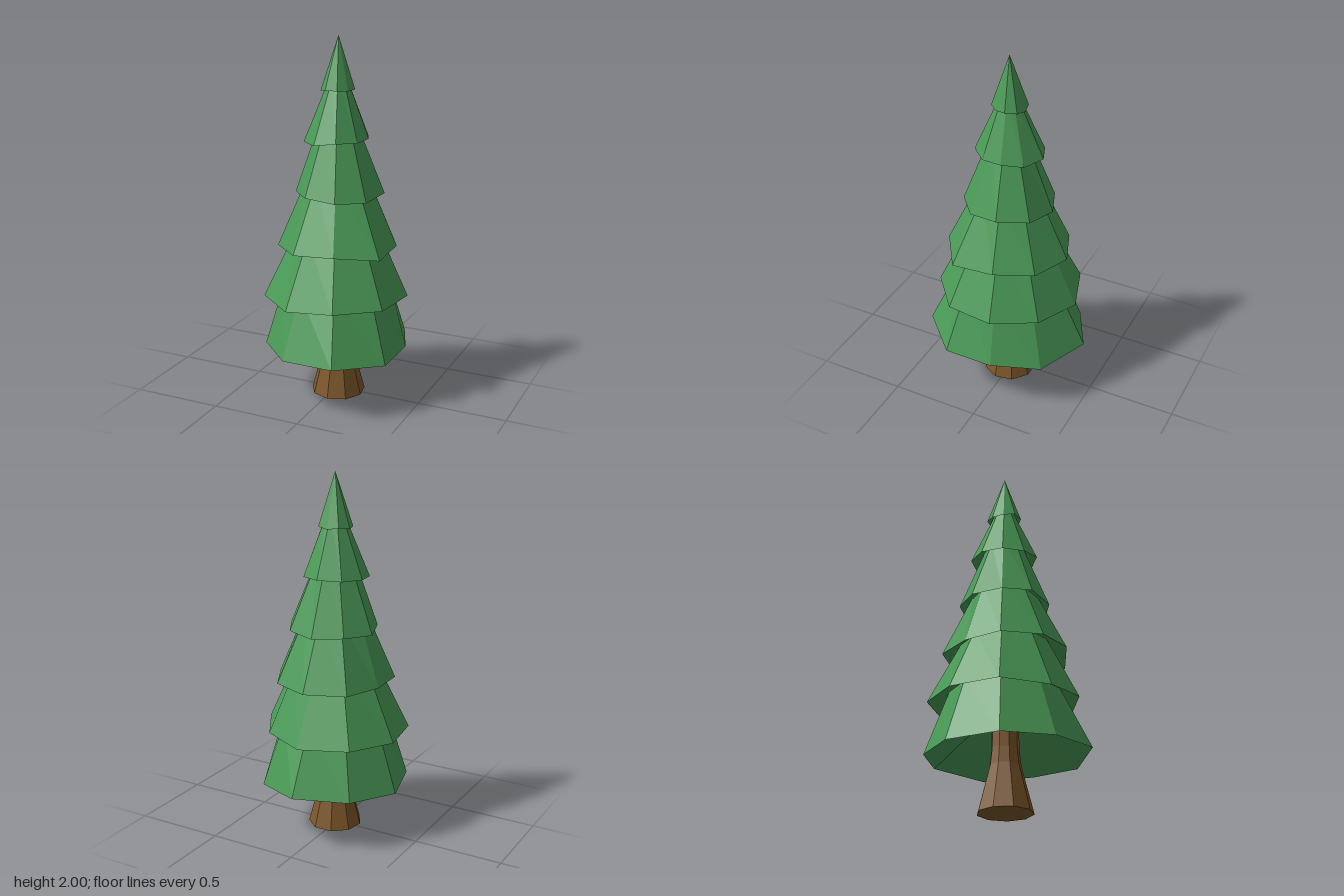
import * as THREE from 'three';

const SIDES = 9;
const CX = 0.018, CZ = 0.01; // axis of the tree

// Point on a ring; corner 0 points to the back, then goes round towards +x
function corner(k, r, y) {
  const a = (k % SIDES) * Math.PI * 2 / SIDES;
  return [CX + Math.sin(a) * r, y, CZ - Math.cos(a) * r];
}

// One skirt of branches: uneven rim, sloping sides and a hollow underside
function makeTier({ y, dy, radii, topR, topY, hollow }, material) {
  const pos = [];
  const hub = [CX, y + hollow, CZ];
  for (let k = 0; k < SIDES; k++) {
    const n = (k + 1) % SIDES;
    const a = corner(k, radii[k], y + dy[k]);
    const b = corner(n, radii[n], y + dy[n]);
    const ta = corner(k, topR, topY);
    const tb = corner(n, topR, topY);
    if (topR > 0) pos.push(...a, ...ta, ...tb);
    pos.push(...a, ...tb, ...b);
    pos.push(...a, ...b, ...hub);
  }
  const geo = new THREE.BufferGeometry();
  geo.setAttribute('position', new THREE.Float32BufferAttribute(pos, 3));
  geo.computeVertexNormals();
  return new THREE.Mesh(geo, material);
}

const TIERS = [
  { y: 0.30, topY: 0.66, topR: 0.295, hollow: 0.31,
    radii: [0.465, 0.425, 0.385, 0.43, 0.46, 0.425, 0.405, 0.425, 0.425],
    dy: [0.02, -0.01, 0, -0.005, 0.015, 0, 0, -0.01, 0] },
  { y: 0.59, topY: 0.95, topR: 0.23, hollow: 0.22,
    radii: [0.405, 0.385, 0.39, 0.40, 0.40, 0.40, 0.41, 0.405, 0.415],
    dy: [-0.01, 0, 0.01, 0.005, 0.01, -0.015, -0.01, -0.01, 0] },
  { y: 0.87, topY: 1.24, topR: 0.17, hollow: 0.2,
    radii: [0.345, 0.335, 0.325, 0.37, 0.34, 0.34, 0.33, 0.30, 0.34],
    dy: [0, 0, 0.01, -0.005, 0.02, 0.005, 0, 0, 0] },
  { y: 1.16, topY: 1.53, topR: 0.105, hollow: 0.18,
    radii: [0.255, 0.26, 0.255, 0.25, 0.25, 0.25, 0.23, 0.255, 0.25],
    dy: [-0.01, 0, 0.01, -0.01, -0.005, 0.01, 0.01, -0.005, 0] },
  { y: 1.45, topY: 1.77, topR: 0.05, hollow: 0.14,
    radii: [0.195, 0.18, 0.165, 0.17, 0.185, 0.185, 0.185, 0.185, 0.19],
    dy: [0.005, 0, 0.01, 0.005, 0.01, -0.01, -0.01, -0.005, 0] },
  { y: 1.715, topY: 2.0, topR: 0, hollow: 0.1,
    radii: [0.09, 0.095, 0.09, 0.085, 0.095, 0.1, 0.095, 0.1, 0.1],
    dy: [-0.01, 0, 0.005, 0, 0.005, 0.005, -0.005, -0.01, 0] },
];

export function createModel() {
  const tree = new THREE.Group();
  tree.name = 'pineTree';
  const leaf = new THREE.MeshStandardMaterial({ color: 0x4a9a57, flatShading: true });
  const bark = new THREE.MeshStandardMaterial({ color: 0x7d572a, flatShading: true });

  // Flared trunk, closed underneath, running up inside the lowest tier
  const profile = [[0, 0], [0.15, 0], [0.085, 0.25], [0.075, 0.34], [0.07, 0.58]]
    .map(([r, y]) => new THREE.Vector2(r, y));
  const trunk = new THREE.Mesh(new THREE.LatheGeometry(profile, SIDES), bark);
  trunk.position.set(CX, 0, CZ);
  trunk.name = 'trunk';
  tree.add(trunk);

  // Branch tiers from the ground up
  const branches = new THREE.Group();
  branches.name = 'branches';
  TIERS.forEach((t, i) => {
    const tier = makeTier(t, leaf);
    tier.name = `branchTier${i + 1}`;
    branches.add(tier);
  });
  tree.add(branches);
  return tree;
}
